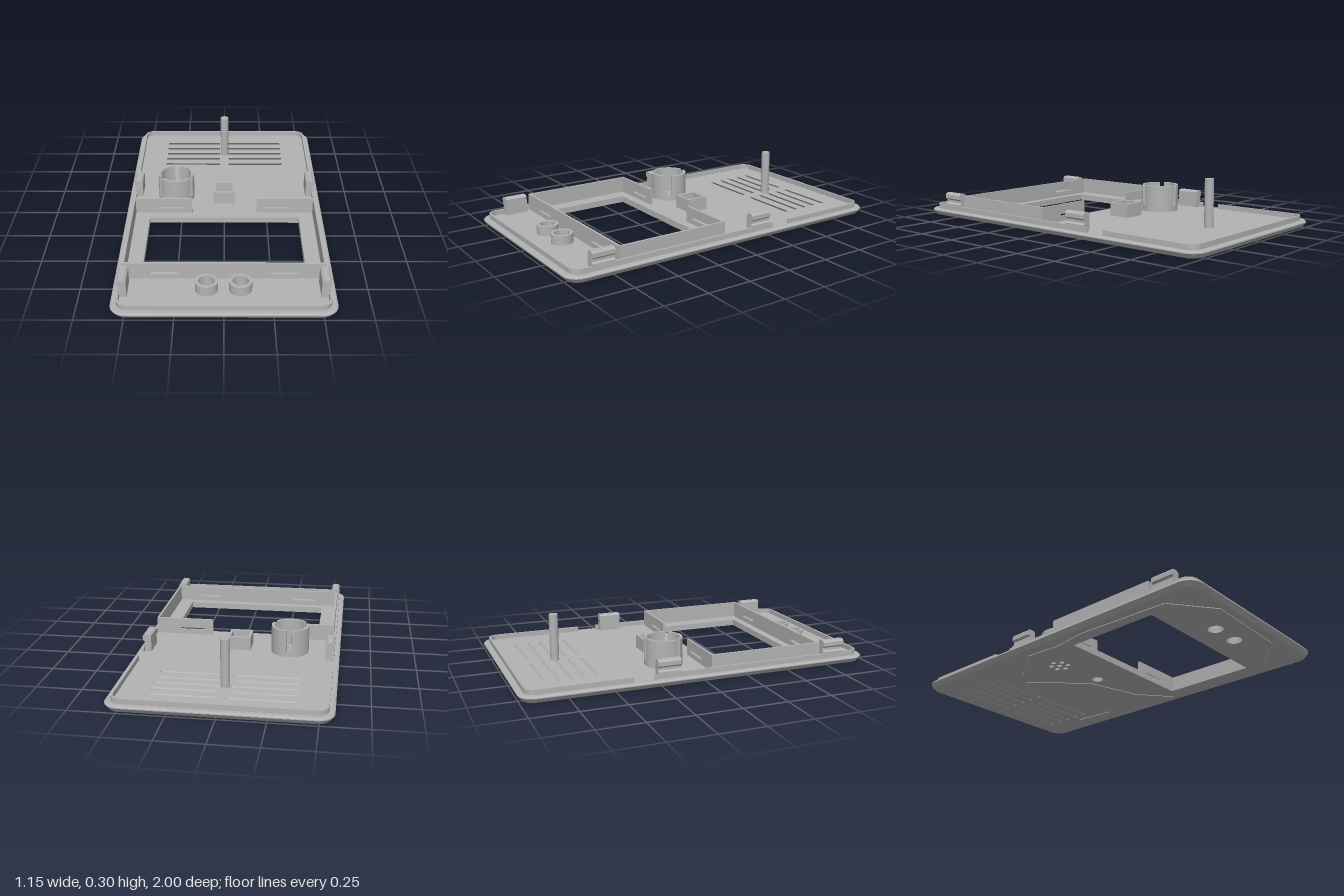
import * as THREE from 'three';
import { toCreasedNormals } from 'three/addons/utils/BufferGeometryUtils.js';

const FLOOR = 0.037, SKIN = 0.004;
const V = (x, y) => new THREE.Vector2(x, y);

// Rounded rectangle points, counter-clockwise from the +x side; first half has y > 0
function outline(hx, hy, r, n = 8) {
  const pts = [];
  for (let c = 0; c < 4; c++) {
    const sx = c === 0 || c === 3 ? 1 : -1, sy = c < 2 ? 1 : -1;
    for (let i = 0; i <= n; i++) {
      const a = (c + i / n) * Math.PI / 2;
      pts.push(V(sx * (hx - r) + r * Math.cos(a), sy * (hy - r) + r * Math.sin(a)));
    }
  }
  return pts;
}

// Plan shapes use (x, -z)
const rect = (x0, x1, y0, y1) => new THREE.Path([V(x0, y0), V(x1, y0), V(x1, y1), V(x0, y1)]);
const circle = (x, z, r) => new THREE.Path().absarc(x, -z, r, 0, Math.PI * 2, false);

// A groove of constant width along a polyline of [x, z] points
function groove(line, w = 0.004) {
  const pts = line.map(([x, z]) => V(x, -z)), a = [], b = [];
  pts.forEach((p, i) => {
    const d = pts[Math.min(i + 1, pts.length - 1)].clone().sub(pts[Math.max(i - 1, 0)]).normalize();
    a.push(V(p.x - d.y * w, p.y + d.x * w));
    b.unshift(V(p.x + d.y * w, p.y - d.x * w));
  });
  return new THREE.Path([...a, ...b]);
}

const extrude = (shape, depth) => toCreasedNormals(
  new THREE.ExtrudeGeometry(shape, { depth, bevelEnabled: false, curveSegments: 32 }), 0.5);
const upright = (shape, y0, y1) => extrude(shape, y1 - y0).rotateX(-Math.PI / 2).translate(0, y0, 0);

function withHoles(points, holes) {
  const s = new THREE.Shape(points);
  s.holes.push(...holes);
  return s;
}

function ring(x, z, ro, ri) {
  const s = new THREE.Shape().absarc(x, -z, ro, 0, Math.PI * 2, false);
  s.holes.push(circle(x, z, ri));
  return s;
}

// Surface through rounded outlines given as [inset, y]
function loft(sections) {
  const pos = [], idx = [];
  let n = 0;
  for (const [d, y] of sections) {
    const pts = outline(0.575 - d, 1 - d, 0.085 - d);
    n = pts.length;
    pts.forEach(p => pos.push(p.x, y, -p.y));
  }
  for (let s = 0; s < sections.length - 1; s++) for (let i = 0; i < n; i++) {
    const j = (i + 1) % n, a = s * n + i, b = s * n + j;
    idx.push(a, b, b + n, a, b + n, a + n);
  }
  const g = new THREE.BufferGeometry();
  g.setAttribute('position', new THREE.Float32BufferAttribute(pos, 3));
  g.setIndex(idx);
  return toCreasedNormals(g, 0.4);
}

export function createModel() {
  const group = new THREE.Group();
  const grey = new THREE.MeshStandardMaterial({ color: 0xb3b3b3 });
  grey.name = 'grey plastic';
  const add = (name, geo) => {
    const m = new THREE.Mesh(geo, grey);
    m.name = name;
    group.add(m);
    return m;
  };

  // Openings that run right through the panel
  const tube = { x: -0.29, z: -0.14 }, buttons = [-0.09, 0.085];
  const ventX = [[-0.38, -0.03], [0.025, 0.375]], ventZ = [-0.88, -0.52];
  const through = () => {
    const holes = [rect(-0.435, 0.435, -0.645, -0.11), circle(0, -0.11, 0.033)];
    buttons.forEach(x => holes.push(circle(x, 0.795, 0.042)));
    ventX.forEach(([a, b]) => holes.push(rect(a, b, -ventZ[1], -ventZ[0])));
    holes.push(circle(tube.x, tube.z, 0.014));
    for (let i = 0; i < 6; i++) {
      const a = i * Math.PI / 3;
      holes.push(circle(tube.x + 0.048 * Math.cos(a), tube.z + 0.048 * Math.sin(a), 0.014));
    }
    return holes;
  };

  // Panel with bevelled rim and an engraved underside
  const inner = outline(0.555, 0.98, 0.065);
  const grooves = [
    [[0.42, 0.77], [0.25, 0.93], [-0.26, 0.945], [-0.49, 0.77], [-0.515, 0.24], [-0.486, 0.02], [-0.5, -0.18], [-0.35, -0.38]],
    [[0.51, 0.06], [0.33, -0.09], [0.02, -0.18], [-0.25, -0.46]],
    [[0.45, -0.41], [0.43, -0.66]],
  ].map(l => groove(l));
  add('panel', upright(withHoles(inner, through()), SKIN, FLOOR));
  add('engravedUnderside', upright(withHoles(inner, [...through(), ...grooves]), 0, SKIN));
  add('bevelledRim', loft([[0.02, 0], [0, 0.025], [0, 0.03], [0.007, FLOOR], [0.02, FLOOR]]));

  // Slanted louvres between the vent slots
  const slots = [-0.83, -0.755, -0.685, -0.615, -0.54], slant = 0.03, half = 0.01;
  for (const [x0, x1] of ventX) for (let i = 0; i <= slots.length; i++) {
    const first = i === 0, last = i === slots.length;
    const t0 = first ? ventZ[0] : slots[i - 1] + half, t1 = last ? ventZ[1] : slots[i] - half;
    const bar = new THREE.Shape([
      V(first ? t0 : t0 - slant, 0), V(last ? t1 : t1 - slant, 0), V(t1, FLOOR), V(t0, FLOOR)]);
    add('ventLouvre', extrude(bar, x1 - x0).rotateY(-Math.PI / 2).translate(x1, 0, 0));
  }

  // Raised lip in two U-shaped runs with a gap on each side
  const lip = end => {
    const run = (hx, hy, r) => {
      const p = outline(hx, hy, r);
      return [V(hx, end), ...p.slice(0, p.length / 2), V(-hx, end)];
    };
    return upright(new THREE.Shape([...run(0.545, 0.968, 0.06), ...run(0.533, 0.956, 0.048).reverse()]), FLOOR, 0.065);
  };
  add('backLip', lip(0.4));
  add('frontLip', lip(-0.285).rotateY(Math.PI));

  // Display frame walls; the cross walls have small slots
  const wall = (name, x0, x1, z0, slotXs) => {
    const s = withHoles([V(x0, FLOOR), V(x1, FLOOR), V(x1, 0.132), V(x0, 0.132)],
      slotXs.map(x => rect(x - 0.073, x + 0.073, 0.066, 0.077)));
    add(name, extrude(s, 0.013).translate(0, 0, z0));
  };
  wall('frontFrameWall', -0.533, 0.533, 0.692, [-0.315, 0.315]);
  wall('backFrameWallRight', -0.533, -0.19, 0.045, [-0.315]);
  wall('backFrameWallLeft', 0.19, 0.533, 0.045, [0.315]);
  for (const s of [-1, 1]) {
    add('sideFrameWall', new THREE.BoxGeometry(0.013, 0.132 - FLOOR, 0.66)
      .translate(s * 0.5265, (0.132 + FLOOR) / 2, 0.375));
  }

  // Snap clips with a notch on the outer face
  const clip = new THREE.Shape([
    V(0.495, FLOOR), V(0.543, FLOOR), V(0.543, 0.074), V(0.533, 0.082), V(0.533, 0.096), V(0.544, 0.106),
    V(0.544, 0.129), V(0.534, 0.139), V(0.507, 0.139), V(0.495, 0.13)]);
  for (const z of [0.798, -0.2]) for (const turn of [0, Math.PI]) {
    add('snapClip', extrude(clip, 0.13).translate(0, 0, -0.065).rotateY(turn).translate(0, 0, z));
  }

  // Slotted round holder over the hole cluster
  add('holderBase', upright(ring(tube.x, tube.z, 0.107, 0.09), FLOOR, 0.07));
  for (let i = 0; i < 3; i++) {
    const a = Math.PI / 2 + i * Math.PI * 2 / 3 + 0.13, b = a + Math.PI * 2 / 3 - 0.26;
    const arc = new THREE.Shape().absarc(tube.x, -tube.z, 0.107, a, b, false)
      .absarc(tube.x, -tube.z, 0.09, b, a, true);
    add('holderSegment', upright(arc, 0.07, 0.192));
  }

  // Square socket, button collars and locating pin
  const socket = withHoles([V(-0.065, 0.045), V(0.065, 0.045), V(0.065, 0.175), V(-0.065, 0.175)],
    [rect(-0.05, 0.05, 0.06, 0.16)]);
  add('squareSocket', upright(socket, FLOOR, 0.115));
  buttons.forEach(x => add('buttonCollar', upright(ring(x, 0.795, 0.06, 0.042), FLOOR, 0.09)));
  add('locatingPin', new THREE.CylinderGeometry(0.025, 0.025, 0.302 - FLOOR, 32)
    .translate(0, (0.302 + FLOOR) / 2, -0.685));

  return group;
}
